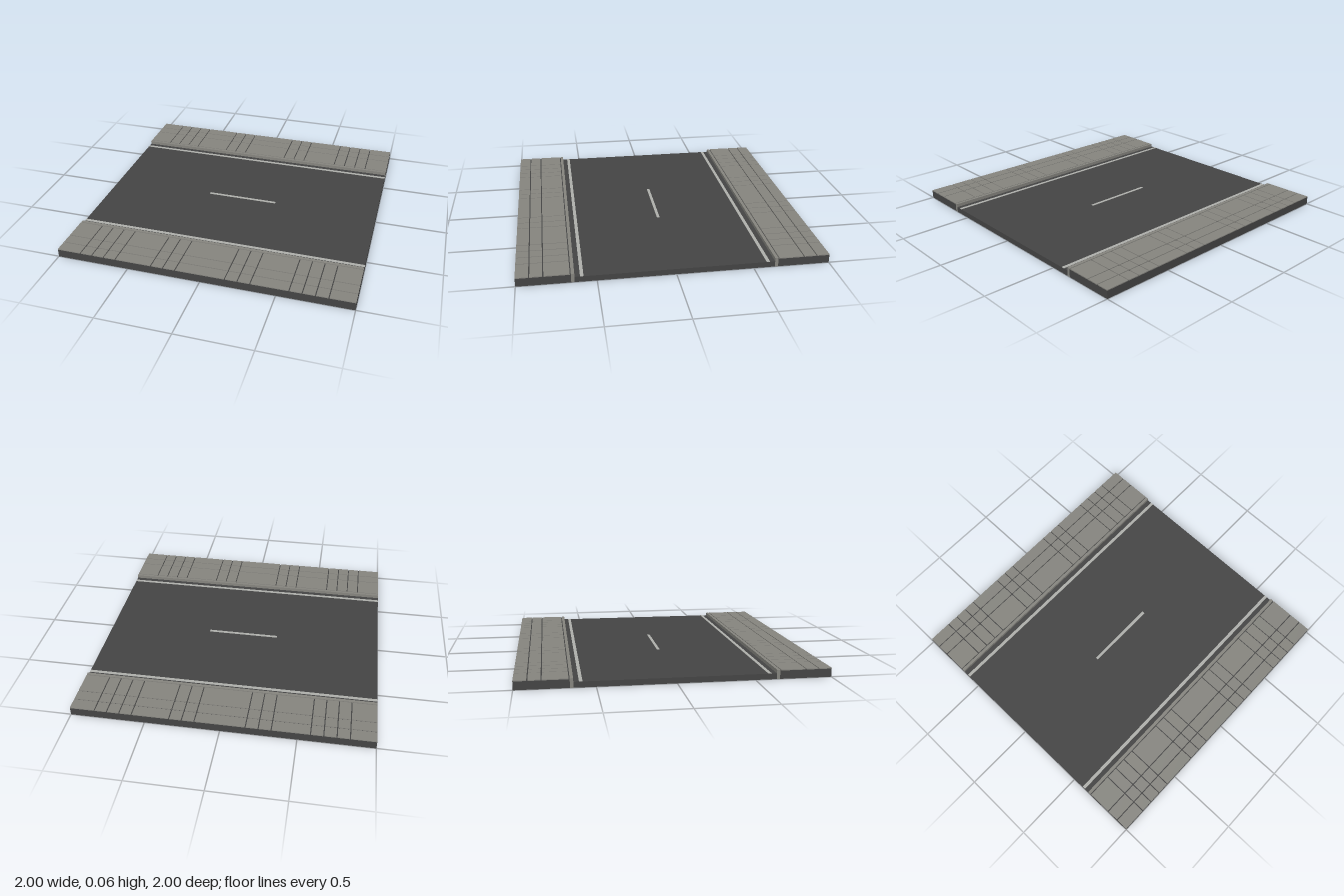
import * as THREE from 'three';

const asphalt = new THREE.MeshStandardMaterial({ color: 0x454545, side: THREE.DoubleSide });
asphalt.name = 'asphalt';
const stone = new THREE.MeshStandardMaterial({ color: 0x878680 });
stone.name = 'paving stone';
const paint = new THREE.MeshStandardMaterial({ color: 0xb0b1ad });
paint.name = 'road paint';

const ROAD_Y = 0.037, BED_Y = 0.054, TOP_Y = 0.06;
const CURB_IN = 0.639, CURB_OUT = 0.66;

// box given by its minimum and maximum corners
function block(name, material, x0, x1, y0, y1, z0, z1) {
  const mesh = new THREE.Mesh(new THREE.BoxGeometry(x1 - x0, y1 - y0, z1 - z0), material);
  mesh.position.set((x0 + x1) / 2, (y0 + y1) / 2, (z0 + z1) / 2);
  mesh.name = name;
  return mesh;
}

// flat sheet turned into place
function sheet(name, w, h, pos, rx, ry) {
  const mesh = new THREE.Mesh(new THREE.PlaneGeometry(w, h), asphalt);
  mesh.position.set(...pos);
  mesh.rotation.set(rx, ry, 0);
  mesh.name = name;
  return mesh;
}

export function createModel() {
  const model = new THREE.Group();
  model.name = 'roadTile';

  // carriageway: open underneath, with a skirt at each end
  model.add(sheet('roadSurface', 2, CURB_IN * 2, [0, ROAD_Y, 0], -Math.PI / 2, 0));
  for (const s of [-1, 1]) {
    model.add(sheet('roadEndSkirt', CURB_IN * 2, ROAD_Y, [s, ROAD_Y / 2, 0], 0, s * Math.PI / 2));
  }
  model.add(block('centreDash', paint, -0.255, 0.255, ROAD_Y, ROAD_Y + 0.002, -0.01, 0.01));

  // joints between paving slabs
  const half = [2, 3, 4, 7, 8, 9, 10].map(n => n / 12);
  const xs = [-1, ...half.map(v => -v).reverse(), ...half, 1];
  const zs = [CURB_OUT + 0.003, 0.83, 0.915, 1];
  const gap = 0.0035;

  for (const s of [-1, 1]) {
    const walk = new THREE.Group();
    walk.name = s > 0 ? 'frontPavement' : 'backPavement';
    const span = (a, b) => s > 0 ? [a, b] : [-b, -a];
    const depth = 1 - CURB_OUT, mid = s * (1 + CURB_OUT) / 2;

    // dark bed and its outer skirts
    walk.add(sheet('pavementBed', 2, depth, [0, BED_Y, mid], -Math.PI / 2, 0));
    walk.add(sheet('outerSkirt', 2, BED_Y, [0, BED_Y / 2, s], 0, s > 0 ? 0 : Math.PI));
    for (const e of [-1, 1]) {
      walk.add(sheet('endSkirt', depth, BED_Y, [e, BED_Y / 2, mid], 0, e * Math.PI / 2));
    }

    // curb and painted edge line
    walk.add(block('curb', stone, -1, 1, 0, TOP_Y, ...span(CURB_IN, CURB_OUT)));
    walk.add(block('edgeLine', paint, -1, 1, ROAD_Y, ROAD_Y + 0.002, ...span(0.583, 0.605)));

    // raised slabs
    for (let i = 0; i < xs.length - 1; i++) {
      for (let j = 0; j < zs.length - 1; j++) {
        const x0 = i === 0 ? -1 : xs[i] + gap;
        const x1 = i === xs.length - 2 ? 1 : xs[i + 1] - gap;
        const z0 = zs[j] + gap;
        const z1 = j === zs.length - 2 ? 1 : zs[j + 1] - gap;
        walk.add(block('pavingSlab', stone, x0, x1, BED_Y, TOP_Y, ...span(z0, z1)));
      }
    }
    model.add(walk);
  }
  return model;
}
